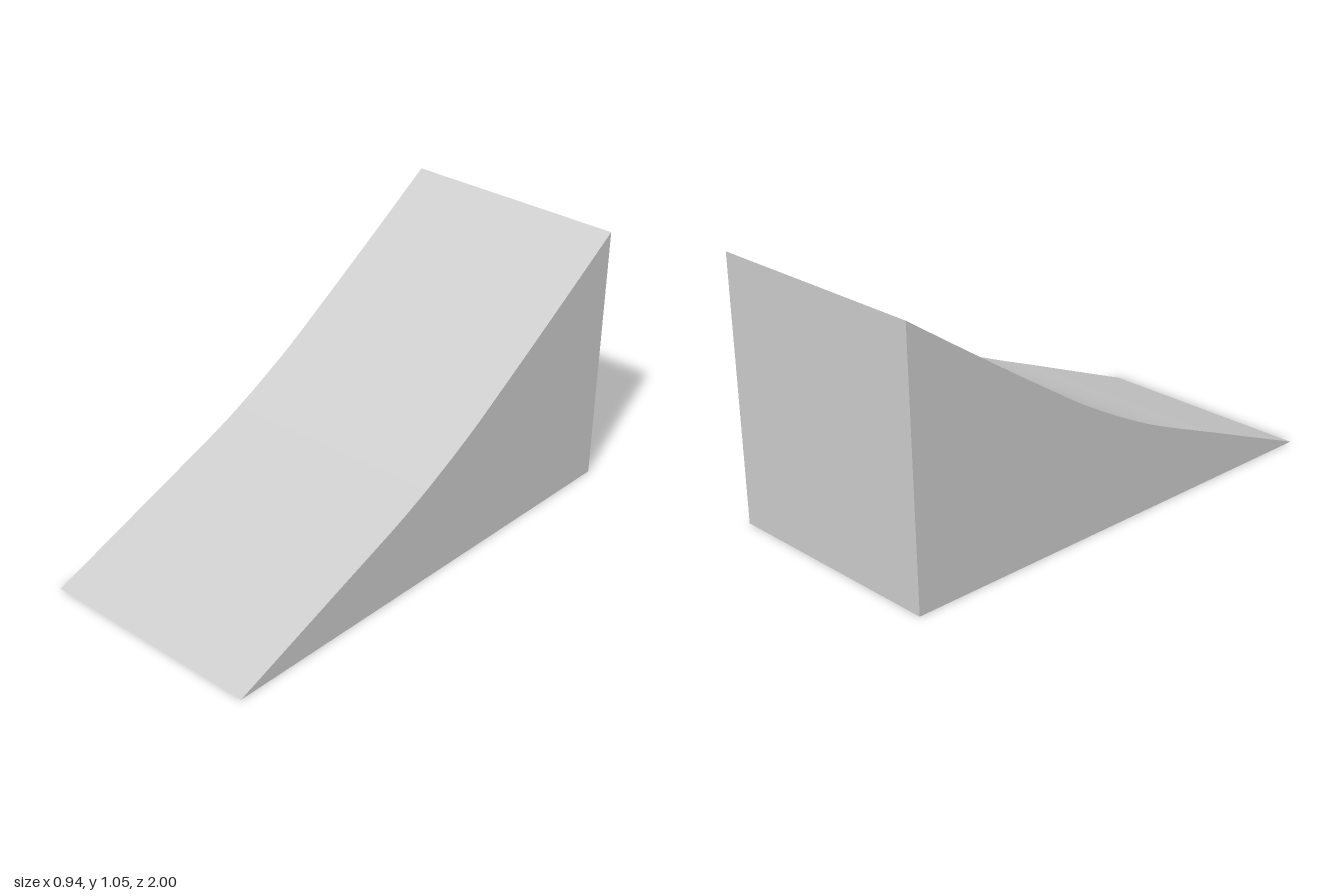
import * as THREE from 'three';

const HALF_WIDTH = 0.47;
const SEGMENTS = 32;

export function createModel() {
  const group = new THREE.Group();
  group.name = 'ramp';
  const material = new THREE.MeshStandardMaterial({ color: 0xcccccc, side: THREE.DoubleSide });

  const add = (name, geometry) => {
    const mesh = new THREE.Mesh(geometry, material);
    mesh.name = name;
    group.add(mesh);
    return mesh;
  };

  // Side profile as (-z, y), from the front lip up to the rear crest
  const profile = new THREE.SplineCurve([
    [-1, 0], [-0.8, 0.08], [-0.5, 0.2], [-0.2, 0.32], [0, 0.415], [0.2, 0.525],
    [0.35, 0.62], [0.5, 0.717], [0.75, 0.882], [1, 1.05],
  ].map(([x, y]) => new THREE.Vector2(x, y))).getPoints(SEGMENTS);
  const crest = profile[SEGMENTS];
  const heel = new THREE.Vector2(0.975, 0);

  // Sheet spanning the width along a list of profile points, first point at the top row
  const sheet = (points) => {
    const geometry = new THREE.PlaneGeometry(2 * HALF_WIDTH, 1, 1, points.length - 1);
    const position = geometry.attributes.position;
    for (let i = 0; i < position.count; i++) {
      const p = points[Math.floor(i / 2)];
      position.setY(i, p.y);
      position.setZ(i, -p.x);
    }
    geometry.computeVertexNormals();
    return geometry;
  };

  // Curved riding surface and slightly leaning back panel; the underside is open
  add('ridingSurface', sheet([...profile].reverse()));
  add('backPanel', sheet([heel, crest]));

  // Matching side panels
  const outline = new THREE.Shape([...profile, heel].reverse());
  for (const [name, side] of [['leftPanel', 1], ['rightPanel', -1]]) {
    const geometry = new THREE.ShapeGeometry(outline);
    if (side < 0) {
      // Turn the right panel's faces outward
      geometry.index.array.reverse();
      const normal = geometry.attributes.normal;
      for (let i = 0; i < normal.count; i++) normal.setZ(i, -1);
    }
    geometry.rotateY(Math.PI / 2);
    geometry.translate(side * HALF_WIDTH, 0, 0);
    add(name, geometry);
  }

  return group;
}
